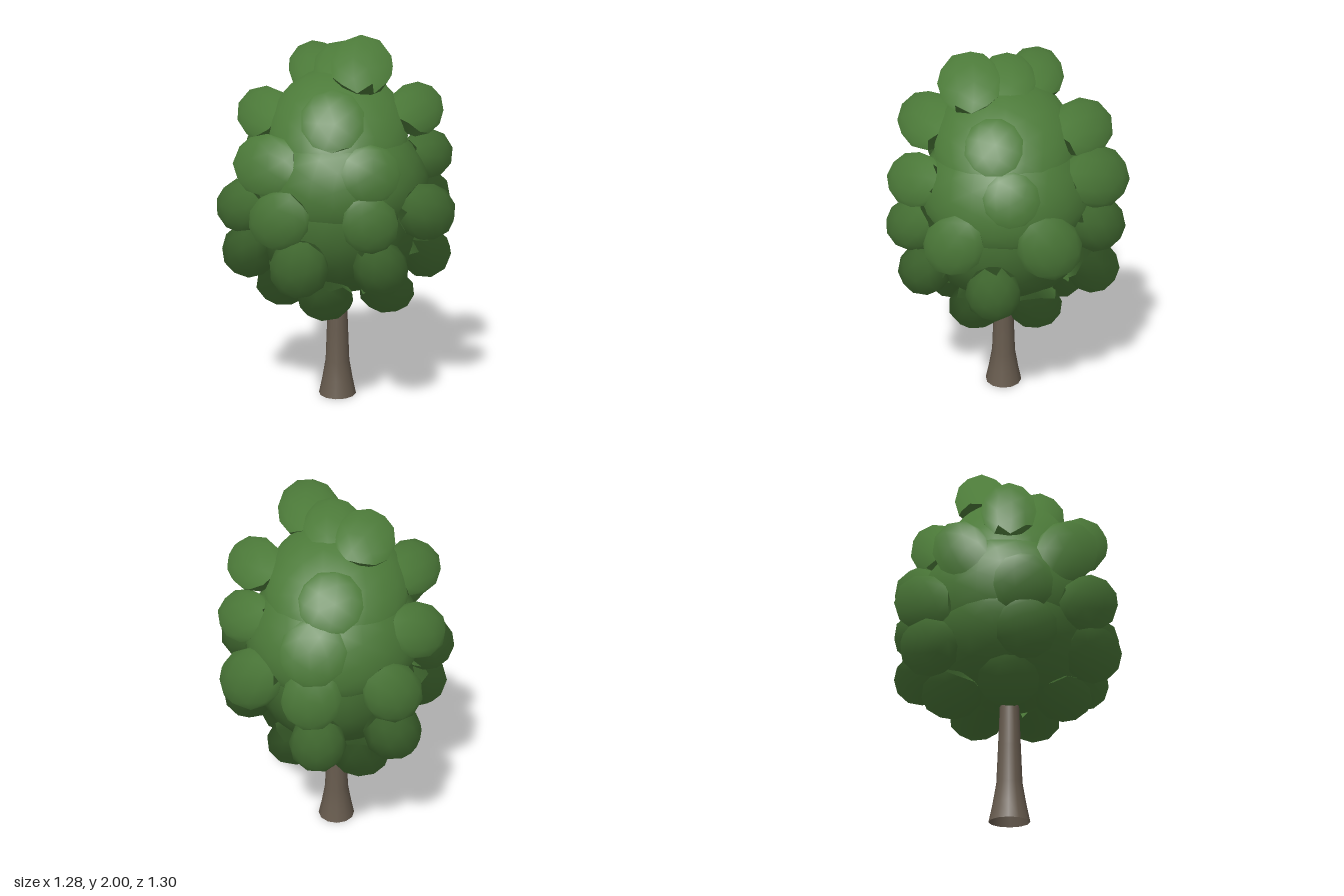
import * as THREE from 'three';

const leaf = new THREE.MeshStandardMaterial({ color: 0x4c7a39 });
leaf.name = 'leaf green';
const bark = new THREE.MeshStandardMaterial({ color: 0x675b4e, side: THREE.DoubleSide });
bark.name = 'bark brown';

const CROWN_CENTRE = new THREE.Vector3(-0.02, 1.18, 0);

// A faceted-outline leaf mass whose normals lean outward from the whole crown, for soft shading
function foliage(name, x, y, z, rx, ry, detail) {
  const geo = new THREE.IcosahedronGeometry(1, detail);
  geo.rotateX(x * 9).rotateY(z * 7 + x * 5);
  geo.scale(rx, ry, rx).translate(x, y, z);
  const pos = geo.attributes.position, nor = geo.attributes.normal;
  const p = new THREE.Vector3(), own = new THREE.Vector3();
  for (let i = 0; i < pos.count; i++) {
    p.fromBufferAttribute(pos, i);
    own.set((p.x - x) / rx, (p.y - y) / ry, (p.z - z) / rx).normalize();
    p.sub(CROWN_CENTRE).normalize().multiplyScalar(0.75).addScaledVector(own, 0.25).normalize();
    nor.setXYZ(i, p.x, p.y, p.z);
  }
  const mesh = new THREE.Mesh(geo, leaf);
  mesh.name = name;
  return mesh;
}

export function createModel() {
  const tree = new THREE.Group();
  tree.name = 'tree';

  // Flared trunk, open at the foot
  const profile = [[0.105, 0], [0.086, 0.09], [0.067, 0.2], [0.059, 0.4], [0.05, 0.65], [0.04, 0.9]]
    .map(([r, y]) => new THREE.Vector2(r, y));
  const trunk = new THREE.Mesh(new THREE.LatheGeometry(profile, 12), bark);
  trunk.name = 'trunk';
  trunk.position.set(-0.031, 0, 0.005);
  tree.add(trunk);

  // Three large stacked masses fill the crown
  const core = new THREE.Group();
  core.name = 'crownCore';
  core.add(
    foliage('lowerCore', -0.03, 0.93, 0, 0.43, 0.32, 3),
    foliage('middleCore', -0.025, 1.237, -0.02, 0.475, 0.32, 3),
    foliage('upperCore', -0.03, 1.475, 0, 0.375, 0.355, 3),
  );
  tree.add(core);

  // Rings of leaf clumps, bottom to top: [x, y, z, radius]
  const rings = {
    skirtClumps: [
      [0.08, 0.645, 0.27, 0.15], [0.27, 0.645, -0.03, 0.15], [0.08, 0.645, -0.28, 0.15],
      [-0.28, 0.645, -0.19, 0.16], [-0.28, 0.645, 0.16, 0.16],
    ],
    lowClumps: [
      [0.055, 0.84, 0.46, 0.155], [-0.38, 0.85, 0.33, 0.155], [0.39, 0.84, 0.22, 0.145],
      [0.385, 0.835, -0.23, 0.145], [-0.18, 0.83, -0.475, 0.148], [-0.47, 0.84, -0.2, 0.155],
    ],
    middleClumps: [
      [-0.04, 1.085, 0.5, 0.155], [-0.41, 1.09, 0.33, 0.155], [0.38, 1.08, 0.3, 0.145],
      [0.49, 1.1, -0.06, 0.155], [0.22, 1.095, -0.46, 0.165], [-0.16, 1.1, -0.5, 0.155],
      [-0.48, 1.1, -0.24, 0.155],
    ],
    upperMiddleClumps: [
      [-0.165, 1.352, 0.45, 0.165], [0.37, 1.335, 0.28, 0.148], [0.34, 1.36, -0.31, 0.142],
      [-0.165, 1.36, -0.49, 0.168], [-0.495, 1.345, 0, 0.15],
    ],
    highClumps: [
      [0.18, 1.59, 0.34, 0.162], [-0.36, 1.58, 0.21, 0.15],
      [-0.2, 1.59, -0.37, 0.16], [0.335, 1.61, -0.2, 0.147],
    ],
    topClumps: [
      [-0.22, 1.81, -0.06, 0.152], [-0.02, 1.815, -0.02, 0.154], [0.17, 1.842, 0.07, 0.163],
    ],
  };
  for (const [name, clumps] of Object.entries(rings)) {
    const ring = new THREE.Group();
    ring.name = name;
    const squash = name === 'skirtClumps' ? 0.8 : 0.98;
    for (const [x, y, z, r] of clumps) ring.add(foliage('leafClump', x, y, z, r, r * squash, 1));
    tree.add(ring);
  }
  return tree;
}
